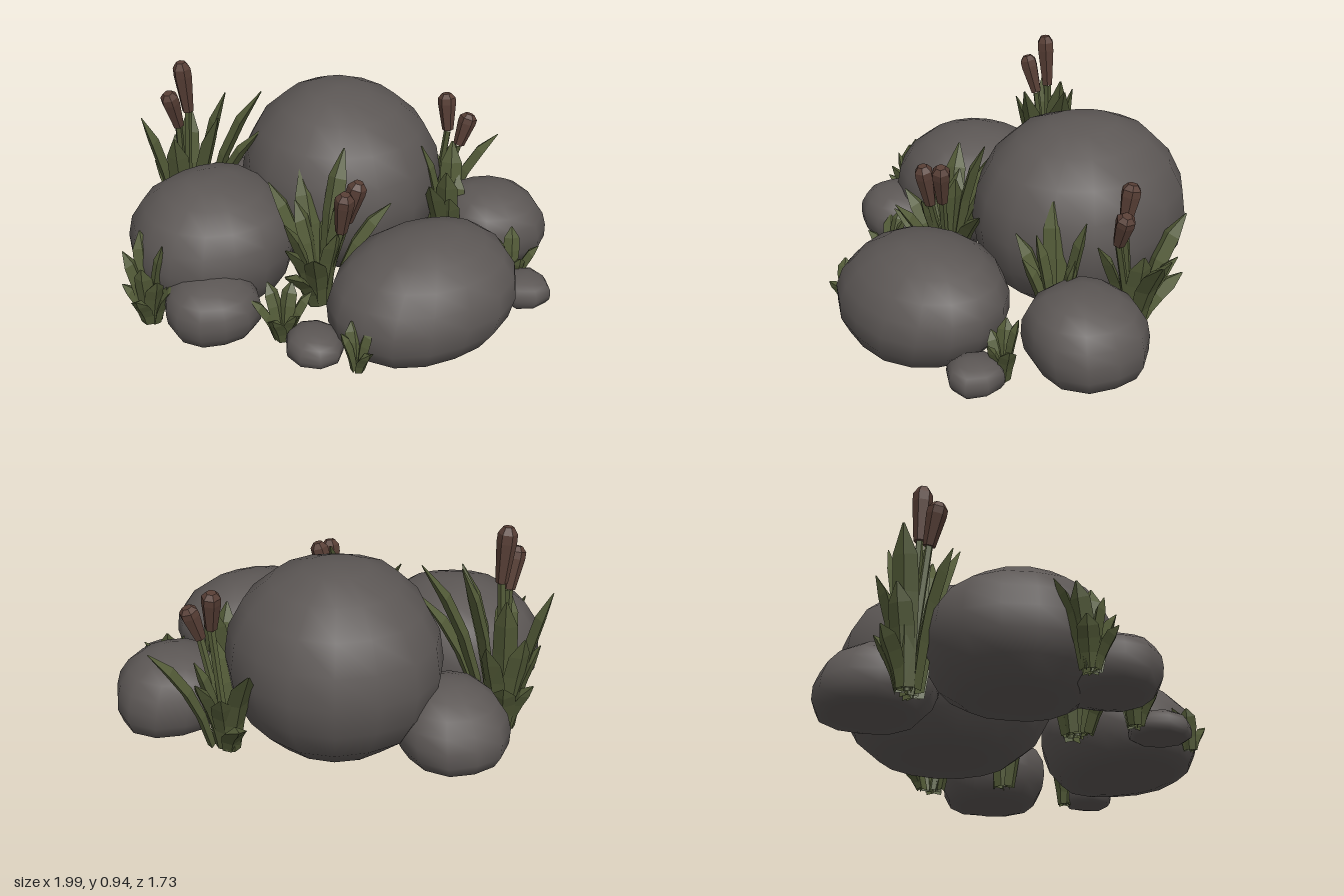
import * as THREE from 'three';
import { mergeVertices } from 'three/addons/utils/BufferGeometryUtils.js';

const mat = (name, color, flatShading = false) => {
  const m = new THREE.MeshStandardMaterial({ color, flatShading });
  m.name = name;
  return m;
};

export function createModel() {
  const stone = mat('stone grey', 0x5c5755);
  const green = mat('reed green', 0x525a37, true);
  const brown = mat('cattail brown', 0x573e35, true);
  const model = new THREE.Group();
  model.name = 'rockCluster';

  const add = (parent, name, geometry, material) => {
    const mesh = new THREE.Mesh(geometry, material);
    mesh.name = name;
    parent.add(mesh);
    return mesh;
  };

  // Boulder: a lumpy superellipsoid with a flattened base; k sets how boxy it is,
  // lean shifts its top sideways and yaw turns it
  function rock(name, [x, y, z], [rx, ry, rz], floor, { k = 2.2, lean = [0, 0], yaw = 0, seed = 1, segs = 12 }) {
    let g = new THREE.SphereGeometry(1, segs, 10);
    g.deleteAttribute('uv');
    g.deleteAttribute('normal');
    g = mergeVertices(g, 1e-4);
    const p = g.attributes.position;
    const v = new THREE.Vector3();
    for (let i = 0; i < p.count; i++) {
      v.fromBufferAttribute(p, i);
      const n = Math.abs(v.x) ** k + Math.abs(v.y) ** k + Math.abs(v.z) ** k;
      const lump = 1 + 0.02 * Math.sin(v.x * 4 + seed) * Math.cos(v.z * 5 + seed * 2);
      v.multiplyScalar(lump / n ** (1 / k));
      const h = v.y;
      v.set(v.x * rx, Math.max(floor - y, h * ry), v.z * rz).applyAxisAngle(up, yaw);
      p.setXYZ(i, x + v.x + h * lean[0], y + v.y, z + v.z + h * lean[1]);
    }
    g.computeVertexNormals();
    add(model, name, g, stone);
  }

  const up = new THREE.Vector3(0, 1, 0);
  rock('backBoulder', [0.125, 0.37, -0.28], [0.455, 0.43, 0.485], 0.02, { k: 2.08, lean: [0, -0.01], seed: 1, segs: 16 });
  rock('frontBoulder', [0.19, 0.18, 0.53], [0.42, 0.265, 0.33], 0, { k: 2.1, lean: [0.045, -0.03], yaw: 0.16, seed: 2.2, segs: 16 });
  rock('rightSideBoulder', [-0.55, 0.26, -0.1], [0.36, 0.285, 0.37], 0.02, { k: 2.25, lean: [0.02, 0], seed: 3.1, segs: 16 });
  rock('leftSideRock', [0.75, 0.16, 0.07], [0.245, 0.19, 0.245], 0.025, { k: 2.4, lean: [-0.03, 0], seed: 4 });
  rock('rearRock', [-0.26, 0.14, -0.62], [0.24, 0.19, 0.25], 0.03, { lean: [0, 0.04], seed: 5 });
  rock('rightFrontRock', [-0.65, 0.13, 0.24], [0.2, 0.14, 0.2], 0.03, { k: 2.4, seed: 0.4 });
  rock('rightPebble', [-0.31, 0.05, 0.555], [0.12, 0.08, 0.135], 0.015, { seed: 1.7, segs: 9 });
  rock('leftPebble', [0.675, 0.08, 0.53], [0.11, 0.07, 0.115], 0.03, { k: 2.5, seed: 2.8, segs: 8 });

  // Blade: four-sided tube swept along an arching curve, broad almost to its tip
  function leaf(parent, base, tip, width) {
    const a = new THREE.Vector3(...base);
    const b = new THREE.Vector3(...tip);
    const lean = new THREE.Vector3(b.x - a.x, 0, b.z - a.z);
    a.addScaledVector(lean, 0.22);
    const mid = a.clone().addScaledVector(lean, 0.2);
    mid.y = a.y + (b.y - a.y) * 0.68;
    const curve = new THREE.QuadraticBezierCurve3(a, mid, b);
    const side = up.clone().cross(lean).normalize();
    const widths = [0.7, 0.85, 1, 0.95, 0.08];
    const g = new THREE.CylinderGeometry(1, 1, 1, 4, 4, true);
    const p = g.attributes.position;
    for (let i = 0; i < p.count; i++) {
      const u = p.getY(i) + 0.5;
      const w = width * widths[Math.round(u * 4)];
      const out = side.clone().cross(curve.getTangent(u));
      const q = curve.getPoint(u)
        .addScaledVector(side, p.getX(i) * w)
        .addScaledVector(out, p.getZ(i) * w * 0.5);
      p.setXYZ(i, q.x, q.y, q.z);
    }
    g.computeVertexNormals();
    add(parent, 'blade', g, green);
  }

  // Cattail: thin stem up to a six-sided seed head
  function cattail(parent, base, foot, top) {
    const a = new THREE.Vector3(...base);
    const f = new THREE.Vector3(...foot);
    const t = new THREE.Vector3(...top);
    const path = new THREE.LineCurve3(a, f);
    add(parent, 'stem', new THREE.TubeGeometry(path, 1, 0.017, 5), green);
    const len = f.distanceTo(t);
    const profile = [[0, 0], [0.026, 0.01], [0.042, 0.72], [0.041, 0.88], [0.022, 1], [0, 1]]
      .map(([r, h]) => new THREE.Vector2(r, h * len));
    const head = add(parent, 'seedHead', new THREE.LatheGeometry(profile, 6), brown);
    head.position.copy(f);
    head.quaternion.setFromUnitVectors(up, t.clone().sub(f).normalize());
  }

  function clump(name, base, width, tips, tails = []) {
    const group = new THREE.Group();
    group.name = name;
    tips.forEach((tip) => leaf(group, base, tip, width));
    tails.forEach(([foot, top]) => cattail(group, base, foot, top));
    model.add(group);
  }

  // Tall reeds behind, between the rear rock and the side boulder
  clump('rearReeds', [-0.56, 0.02, -0.53], 0.052, [
    [-0.21, 0.78, -0.4], [-0.36, 0.77, -0.47], [-0.44, 0.72, -0.32], [-0.73, 0.65, -0.59],
    [-0.63, 0.62, -0.38], [-0.49, 0.66, -0.62], [-0.56, 0.5, -0.67], [-0.68, 0.42, -0.6],
    [-0.42, 0.45, -0.6], [-0.63, 0.26, -0.65], [-0.48, 0.28, -0.66], [-0.23, 0.62, -0.34],
  ], [
    [[-0.53, 0.69, -0.5], [-0.55, 0.935, -0.495]],
    [[-0.585, 0.64, -0.47], [-0.63, 0.82, -0.44]],
  ]);

  // Reeds in the gap between the three large boulders
  clump('middleReeds', [-0.17, 0.05, 0.24], 0.048, [
    [-0.01, 0.7, 0.12], [-0.34, 0.58, 0.08], [-0.17, 0.57, 0], [-0.02, 0.52, 0.08],
    [-0.36, 0.4, 0.35], [-0.33, 0.46, 0.25], [0.16, 0.46, 0.24], [-0.27, 0.38, 0.44],
    [-0.06, 0.55, 0.24], [-0.14, 0.44, 0.37], [-0.24, 0.5, 0.13], [-0.38, 0.3, 0.4],
  ], [
    [[-0.11, 0.43, 0.34], [-0.105, 0.625, 0.375]],
    [[-0.07, 0.45, 0.3], [-0.025, 0.64, 0.325]],
  ]);

  // Reeds beside the left rock
  clump('leftReeds', [0.6, 0.03, -0.25], 0.05, [
    [0.9, 0.47, -0.18], [0.58, 0.48, -0.53], [0.75, 0.38, -0.34], [0.62, 0.22, -0.5],
    [0.67, 0.34, -0.43], [0.72, 0.42, -0.22], [0.59, 0.44, -0.08],
  ], [
    [[0.63, 0.54, -0.18], [0.63, 0.715, -0.21]],
    [[0.665, 0.48, -0.13], [0.715, 0.63, -0.13]],
  ]);
  clump('leftInnerGrass', [0.53, 0.04, 0.07], 0.05, [
    [0.4, 0.59, 0.02], [0.37, 0.47, 0.18], [0.58, 0.56, -0.03], [0.46, 0.4, 0.2],
    [0.59, 0.42, 0.02], [0.47, 0.5, 0.14],
  ]);

  // Low grass tufts around the edge
  clump('rightGrass', [-0.89, 0.02, 0.09], 0.042, [
    [-0.99, 0.2, 0.05], [-0.97, 0.34, 0.02], [-0.88, 0.39, -0.04], [-0.82, 0.39, 0.12],
    [-0.73, 0.35, 0.13], [-0.96, 0.18, 0.18], [-0.87, 0.27, 0.2], [-0.77, 0.24, 0.2],
    [-0.92, 0.31, 0.14],
  ]);
  clump('frontRightGrass', [-0.4, 0.02, 0.42], 0.038, [
    [-0.52, 0.2, 0.36], [-0.44, 0.26, 0.34], [-0.34, 0.26, 0.37], [-0.27, 0.22, 0.42],
    [-0.47, 0.17, 0.5], [-0.37, 0.18, 0.51],
  ]);
  clump('frontGrass', [-0.19, 0.02, 0.73], 0.036, [
    [-0.25, 0.19, 0.7], [-0.19, 0.21, 0.66], [-0.13, 0.2, 0.72], [-0.17, 0.14, 0.81],
  ]);
  clump('frontLeftGrass', [0.68, 0.03, 0.41], 0.036, [
    [0.6, 0.21, 0.42], [0.7, 0.29, 0.35], [0.79, 0.22, 0.44], [0.68, 0.2, 0.48], [0.62, 0.26, 0.36],
  ]);

  return model;
}
